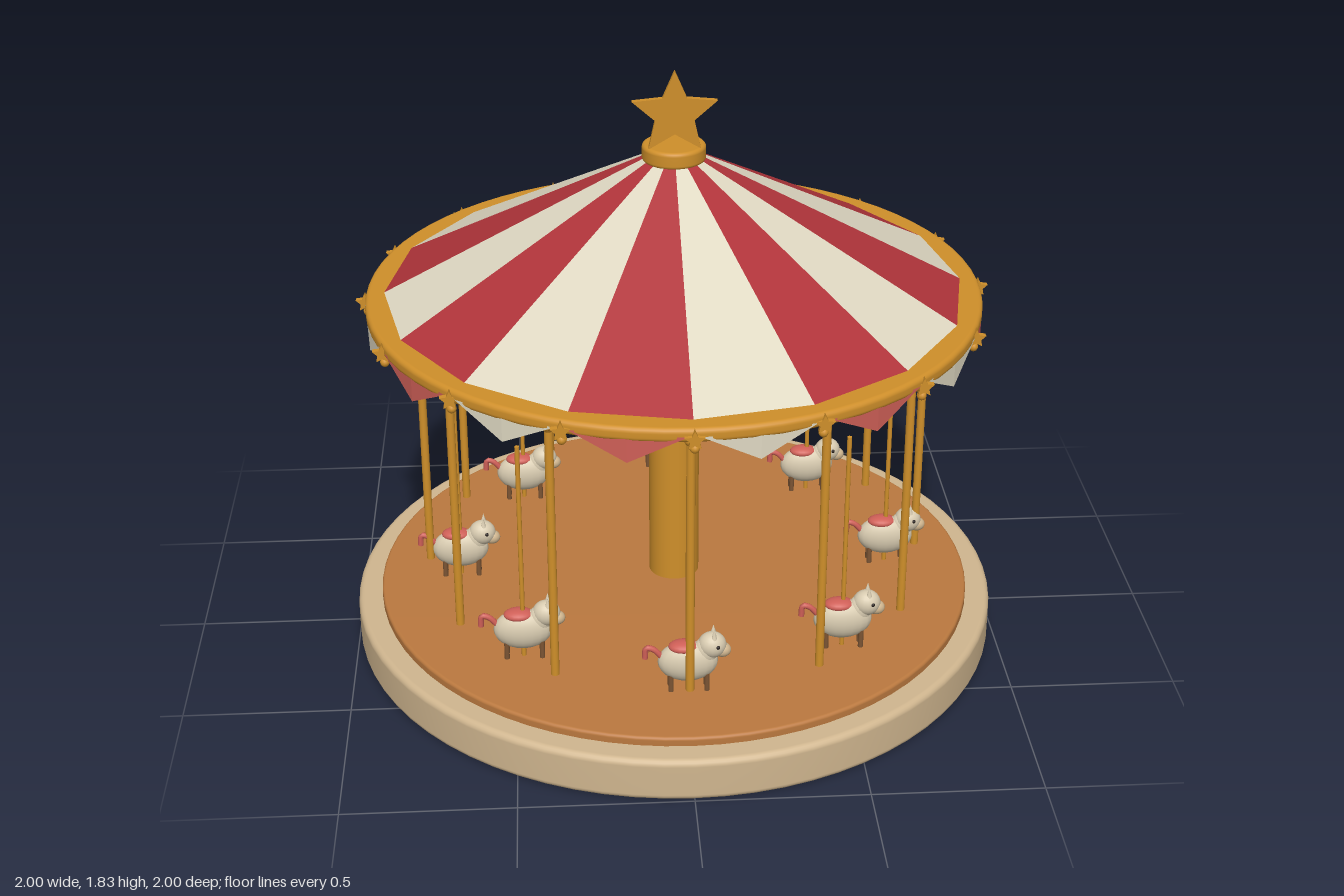
import * as THREE from 'three';

const paint = (name, color, extra = {}) => {
  const m = new THREE.MeshStandardMaterial({ color, ...extra });
  m.name = name;
  return m;
};
const mats = {
  stone: paint('sandstone', 0xd0b68f),
  deck: paint('deckWood', 0xbb793f),
  gold: paint('gold', 0xcf8f2a),
  cream: paint('canvasCream', 0xe0d9c3, { side: THREE.DoubleSide }),
  red: paint('canvasRed', 0xb0343a, { side: THREE.DoubleSide }),
  coral: paint('coral', 0xcf5f57, { side: THREE.DoubleSide }),
  body: paint('animalCream', 0xd8cbb0),
  hoof: paint('hoofBrown', 0x7c5534),
  eye: paint('eyeDark', 0x2a2320),
};

function add(parent, name, geometry, material, x = 0, y = 0, z = 0) {
  const m = new THREE.Mesh(geometry, material);
  m.name = name;
  m.position.set(x, y, z);
  parent.add(m);
  return m;
}

// Solid disc with a rounded rim
function roundDisc(r, y0, y1, b) {
  const pts = [new THREE.Vector2(0, y0)];
  for (let i = 0; i <= 5; i++) {
    const a = -Math.PI / 2 + (i / 5) * Math.PI / 2;
    pts.push(new THREE.Vector2(r - b + b * Math.cos(a), y0 + b + b * Math.sin(a)));
  }
  for (let i = 0; i <= 5; i++) {
    const a = (i / 5) * Math.PI / 2;
    pts.push(new THREE.Vector2(r - b + b * Math.cos(a), y1 - b + b * Math.sin(a)));
  }
  pts.push(new THREE.Vector2(0, y1));
  return new THREE.LatheGeometry(pts, 72);
}

function starGeometry(outer, inner, depth) {
  const s = new THREE.Shape();
  for (let i = 0; i < 10; i++) {
    const r = i % 2 ? inner : outer, a = Math.PI / 2 + i * Math.PI / 5;
    s[i ? 'lineTo' : 'moveTo'](r * Math.cos(a), r * Math.sin(a));
  }
  const g = new THREE.ExtrudeGeometry(s, { depth, bevelEnabled: false });
  return g.translate(0, 0, -depth / 2);
}

function triangles(points) {
  const g = new THREE.BufferGeometry();
  g.setAttribute('position', new THREE.Float32BufferAttribute(points.flat(), 3));
  g.computeVertexNormals();
  return g;
}

// Point on a circle; angle 0 is the back, growing towards +x
const ring = (r, a, y) => [r * Math.sin(a), y, -r * Math.cos(a)];

// Riding animal facing +x, with its feet on y = 0.16
function createAnimal() {
  const g = new THREE.Group();
  g.name = 'ridingAnimal';
  const ball = new THREE.SphereGeometry(1, 20, 14);
  const blob = (name, mat, x, y, z, sx, sy, sz) => {
    const m = add(g, name, ball, mat, x, y, z);
    m.scale.set(sx, sy, sz);
    return m;
  };
  blob('body', mats.body, 0, 0.255, 0, 0.088, 0.064, 0.042);
  blob('neck', mats.body, 0.05, 0.285, 0, 0.036, 0.046, 0.03);
  blob('head', mats.body, 0.07, 0.308, 0, 0.042, 0.04, 0.036);
  blob('muzzle', mats.stone, 0.1, 0.29, 0, 0.026, 0.022, 0.022);
  blob('saddle', mats.coral, -0.012, 0.305, 0, 0.045, 0.018, 0.032);
  for (const s of [-1, 1]) {
    blob('eye', mats.eye, 0.085, 0.316, s * 0.031, 0.006, 0.006, 0.005);
    add(g, 'ear', new THREE.ConeGeometry(0.01, 0.032, 10), mats.body, 0.075, 0.35, s * 0.016);
    for (const x of [-0.05, 0.055])
      add(g, 'leg', new THREE.CylinderGeometry(0.008, 0.008, 0.06, 10), mats.hoof, x, 0.19, s * 0.015);
  }
  // Tail rises behind the body, then droops
  const tail = new THREE.CatmullRomCurve3([
    new THREE.Vector3(-0.075, 0.27, 0), new THREE.Vector3(-0.1, 0.297, 0),
    new THREE.Vector3(-0.12, 0.302, 0), new THREE.Vector3(-0.125, 0.268, 0)]);
  add(g, 'tail', new THREE.TubeGeometry(tail, 12, 0.009, 8), mats.coral);
  add(g, 'ridingPole', new THREE.CylinderGeometry(0.007, 0.007, 0.71, 12), mats.gold, 0, 0.515, 0);
  return g;
}

export function createModel() {
  const model = new THREE.Group();
  model.name = 'carousel';

  // Platform and centre column
  add(model, 'base', roundDisc(1, 0, 0.135, 0.02), mats.stone);
  add(model, 'deck', roundDisc(0.925, 0.12, 0.162, 0.01), mats.deck);
  add(model, 'centreColumn', new THREE.CylinderGeometry(0.078, 0.078, 0.97, 40), mats.gold, 0, 0.64, 0);

  // Canopy rim, striped roof, cap and star
  add(model, 'canopyRim', roundDisc(0.92, 1.102, 1.145, 0.015), mats.gold);
  const roof = new THREE.Group();
  roof.name = 'stripedRoof';
  model.add(roof);
  const n = 16, step = Math.PI * 2 / n;
  for (let i = 0; i < n; i++) {
    const a = i * step, b = a + step;
    add(roof, 'roofPanel', triangles([[0, 1.6, 0], ring(0.87, b, 1.142), ring(0.87, a, 1.142)]),
      i % 2 ? mats.cream : mats.red);
  }
  add(model, 'roofCap', roundDisc(0.094, 1.548, 1.6, 0.012), mats.gold);
  add(model, 'topStar', starGeometry(0.13, 0.06, 0.018), mats.gold, 0, 1.702, 0.036);

  // Pennants, small stars and bulbs around the rim
  const trim = new THREE.Group();
  trim.name = 'rimTrim';
  model.add(trim);
  const smallStar = starGeometry(0.029, 0.014, 0.018);
  const bulb = new THREE.SphereGeometry(0.014, 12, 8);
  for (let i = 0; i < n; i++) {
    const a = i * step, m = a + step / 2, b = a + step, mid = ring(0.918, m, 1.122);
    const p0 = ring(0.922, a + 0.02, 1.122), p1 = ring(0.922, b - 0.02, 1.122), tip = ring(0.918, m, 1.04);
    add(trim, 'pennant', triangles([p0, mid, tip, mid, p1, tip]), i % 2 ? mats.cream : mats.coral);
    add(trim, 'rimStar', smallStar, mats.gold, ...ring(0.922, a, 1.115));
    add(trim, 'rimBulb', bulb, mats.gold, ...ring(0.915, a, 1.086));
  }

  // Twelve hanging poles with collars
  for (let i = 0; i < 12; i++) {
    const a = i * Math.PI / 6;
    const pole = new THREE.Group();
    pole.name = 'canopyPole';
    pole.position.set(...ring(0.77, a, 0));
    add(pole, 'shaft', new THREE.CylinderGeometry(0.0125, 0.0125, 0.89, 16), mats.gold, 0, 0.665, 0);
    add(pole, 'collar', new THREE.SphereGeometry(0.02, 14, 10), mats.gold, 0, 1.035, 0);
    model.add(pole);
  }

  // Eight riding animals, all facing the same way
  for (let i = 0; i < 8; i++) {
    const animal = createAnimal();
    animal.position.set(...ring(0.675, i * Math.PI / 4, 0));
    model.add(animal);
  }
  return model;
}
